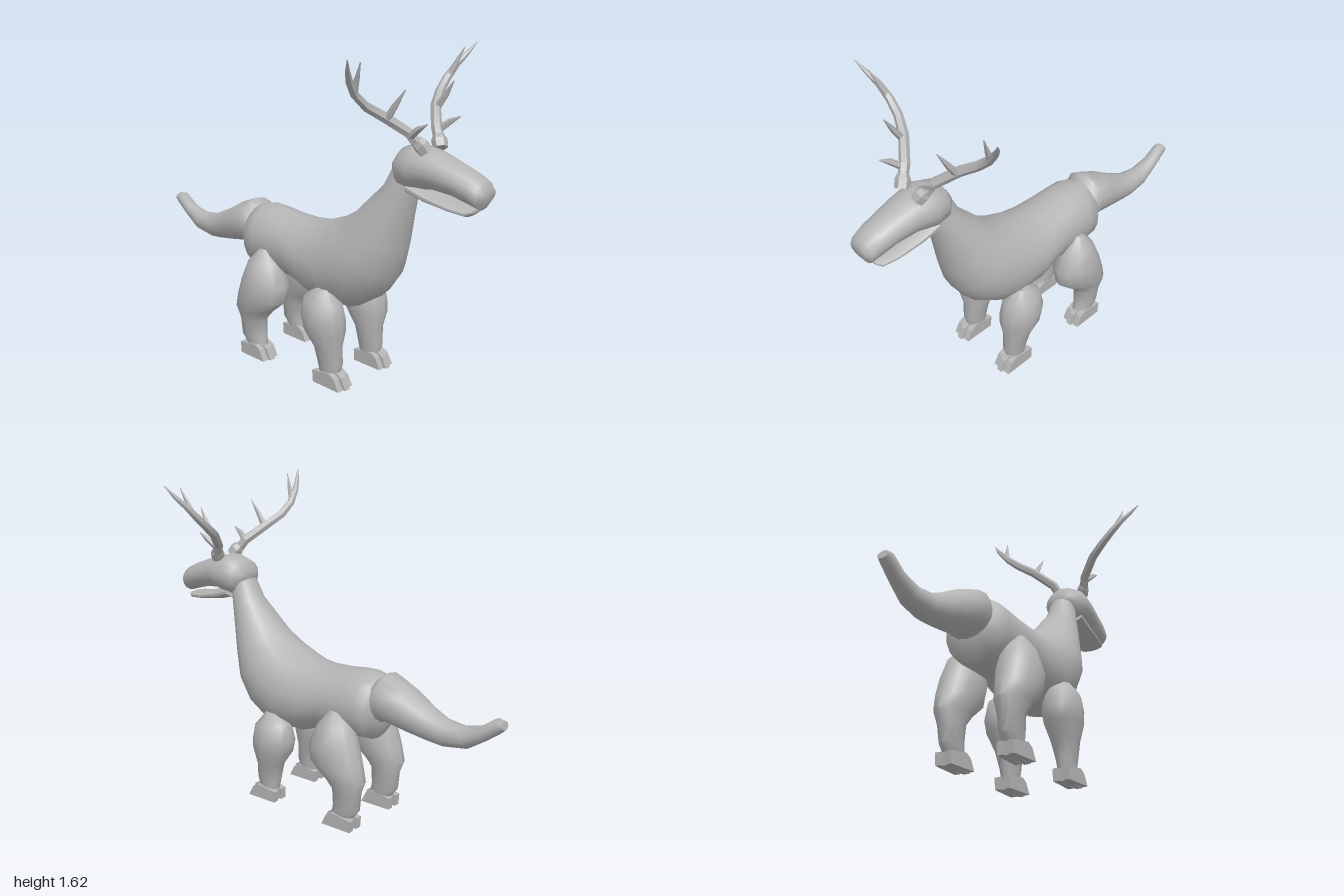
import * as THREE from 'three';
import { toCreasedNormals } from 'three/addons/utils/BufferGeometryUtils.js';

const V = (x, y, z) => new THREE.Vector3(x, y, z);

// Closed skin through rings of equal point count, with fan caps, faces turned outward
function loft(rings, crease) {
  const n = rings[0].length, pts = rings.flat(), idx = [];
  const centre = r => r.reduce((a, p) => a.add(p), V(0, 0, 0)).divideScalar(n);
  for (let i = 0; i < rings.length - 1; i++) {
    for (let j = 0; j < n; j++) {
      const a = i * n + j, b = i * n + (j + 1) % n;
      idx.push(a, b, a + n, b, b + n, a + n);
    }
  }
  const last = (rings.length - 1) * n, c0 = pts.length;
  pts.push(centre(rings[0]), centre(rings[rings.length - 1]));
  for (let j = 0; j < n; j++) {
    const k = (j + 1) % n;
    idx.push(c0, k, j, c0 + 1, last + j, last + k);
  }
  let volume = 0;
  for (let i = 0; i < idx.length; i += 3) {
    volume += pts[idx[i]].dot(V(0, 0, 0).crossVectors(pts[idx[i + 1]], pts[idx[i + 2]]));
  }
  if (volume < 0) idx.reverse();
  const g = new THREE.BufferGeometry().setFromPoints(pts);
  g.setIndex(idx);
  return toCreasedNormals(g, crease);
}

// Rings given as [zA, yA, zB, yB, halfWidth, xCentre]: two opposite edge points in profile
function profileLoft(rows, sides, crease) {
  return loft(rows.map(([za, ya, zb, yb, w, x = 0]) =>
    Array.from({ length: sides }, (_, j) => {
      const t = (j / sides) * Math.PI * 2, c = (1 + Math.cos(t)) / 2;
      return V(x + w * Math.sin(t), yb + (ya - yb) * c, zb + (za - zb) * c);
    })), crease);
}

// Tapering branch along points [x, y, z, radius]
function branch(path, sides) {
  const p = path.map(([x, y, z]) => V(x, y, z));
  return loft(p.map((c, i) => {
    const t = p[Math.min(i + 1, p.length - 1)].clone().sub(p[Math.max(i - 1, 0)]).normalize();
    const u = V(0, 0, 1).cross(t).normalize(), v = t.clone().cross(u);
    return Array.from({ length: sides }, (_, j) => {
      const a = (j / sides) * Math.PI * 2, r = path[i][3];
      return c.clone().addScaledVector(u, r * Math.cos(a)).addScaledVector(v, r * Math.sin(a));
    });
  }), 0.35);
}

export function createModel() {
  const model = new THREE.Group();
  const grey = new THREE.MeshStandardMaterial({ color: 0xb4b4b4 });
  grey.name = 'grey';
  const add = (name, geometry, parent = model) => {
    const m = new THREE.Mesh(geometry, grey);
    m.name = name;
    parent.add(m);
  };

  // Neck, chest, belly and rump in one skin
  add('body', profileLoft([
    [0.52, 1.11, 0.64, 1.04, 0.07],
    [0.47, 1.01, 0.625, 0.96, 0.09],
    [0.40, 0.94, 0.60, 0.85, 0.12],
    [0.32, 0.86, 0.57, 0.70, 0.155],
    [0.24, 0.81, 0.535, 0.57, 0.188],
    [0.15, 0.775, 0.46, 0.46, 0.203],
    [0.07, 0.757, 0.32, 0.37, 0.2],
    [0, 0.75, 0.12, 0.375, 0.19],
    [-0.1, 0.755, -0.02, 0.43, 0.175],
    [-0.2, 0.77, -0.15, 0.43, 0.166],
    [-0.28, 0.775, -0.24, 0.435, 0.162],
    [-0.335, 0.76, -0.315, 0.44, 0.15],
    [-0.35, 0.70, -0.365, 0.53, 0.11],
  ], 18, 1));

  // Head with muzzle, and the separate lower jaw
  add('head', profileLoft([
    [0.54, 1.15, 0.545, 1.08, 0.065],
    [0.575, 1.2, 0.58, 1.02, 0.105],
    [0.65, 1.222, 0.64, 1.01, 0.118],
    [0.75, 1.2, 0.74, 1.03, 0.105],
    [0.85, 1.165, 0.84, 1.02, 0.092],
    [0.93, 1.135, 0.93, 0.995, 0.084],
    [0.98, 1.11, 0.975, 0.98, 0.075],
    [1.0, 1.08, 1.0, 1.02, 0.055],
  ], 16, 1));
  add('lowerJaw', profileLoft([
    [0.64, 1.06, 0.62, 1.0, 0.09],
    [0.74, 1.025, 0.71, 0.975, 0.09],
    [0.85, 0.995, 0.84, 0.955, 0.083],
    [0.925, 0.985, 0.925, 0.945, 0.07],
    [0.95, 0.98, 0.95, 0.965, 0.05],
  ], 14, 0.9));

  // Thick tail, dipping then curling up at the tip
  add('tail', profileLoft([
    [-0.33, 0.755, -0.37, 0.54, 0.12],
    [-0.37, 0.785, -0.39, 0.55, 0.13],
    [-0.475, 0.745, -0.53, 0.525, 0.105],
    [-0.59, 0.68, -0.62, 0.512, 0.082],
    [-0.69, 0.635, -0.70, 0.505, 0.066],
    [-0.79, 0.625, -0.82, 0.525, 0.052],
    [-0.88, 0.65, -0.915, 0.59, 0.04],
    [-0.955, 0.705, -0.985, 0.645, 0.034],
    [-0.99, 0.7, -1.0, 0.66, 0.028],
  ], 14, 1));

  // Legs: [zFront, yFront, zBack, yBack, halfWidth, xCentre] from hip to ankle
  const foreLeg = [
    [0.27, 0.485, 0.2, 0.485, 0.04, 0.16],
    [0.33, 0.41, 0.13, 0.44, 0.085, 0.165],
    [0.345, 0.34, 0.11, 0.35, 0.1, 0.163],
    [0.35, 0.28, 0.125, 0.28, 0.092, 0.163],
    [0.33, 0.2, 0.185, 0.2, 0.07, 0.158],
    [0.34, 0.11, 0.2, 0.11, 0.048, 0.157],
    [0.325, 0.06, 0.215, 0.05, 0.042, 0.157],
  ];
  const hindLeg = [
    [-0.14, 0.59, -0.2, 0.585, 0.04, 0.14],
    [-0.08, 0.52, -0.26, 0.52, 0.085, 0.15],
    [-0.03, 0.41, -0.3, 0.42, 0.108, 0.155],
    [-0.04, 0.325, -0.33, 0.33, 0.1, 0.16],
    [-0.12, 0.26, -0.35, 0.255, 0.08, 0.16],
    [-0.17, 0.205, -0.325, 0.19, 0.062, 0.158],
    [-0.17, 0.11, -0.32, 0.1, 0.05, 0.157],
    [-0.16, 0.06, -0.28, 0.05, 0.042, 0.157],
  ];

  // Toe profile, front tip at z = 0
  const toe = new THREE.Shape([[0, 0], [-0.17, 0], [-0.175, 0.06], [-0.06, 0.075], [-0.028, 0.055]]
    .map(([a, b]) => new THREE.Vector2(a, b)));
  const toeGeometry = () => new THREE.ExtrudeGeometry(toe, { depth: 0.032, bevelEnabled: false })
    .translate(0, 0, -0.016).rotateY(-Math.PI / 2);

  // Antler beam, burr and tines
  const beam = [
    [0.065, 1.2, 0.71, 0.024], [0.1, 1.28, 0.66, 0.025], [0.19, 1.355, 0.59, 0.024],
    [0.27, 1.405, 0.555, 0.022], [0.335, 1.46, 0.548, 0.02], [0.39, 1.52, 0.563, 0.016],
    [0.435, 1.57, 0.59, 0.011], [0.472, 1.622, 0.618, 0.002],
  ];
  const burr = [[0.055, 1.2, 0.715, 0.034], [0.07, 1.232, 0.697, 0.036], [0.08, 1.25, 0.685, 0.026]];
  const tines = [
    [[0.105, 1.27, 0.67, 0.018], [0.12, 1.31, 0.72, 0.015], [0.125, 1.337, 0.768, 0.002]],
    [[0.185, 1.345, 0.6, 0.018], [0.188, 1.41, 0.645, 0.014], [0.18, 1.48, 0.69, 0.002]],
    [[0.345, 1.465, 0.55, 0.016], [0.362, 1.53, 0.578, 0.012], [0.38, 1.605, 0.61, 0.002]],
  ];

  for (const [side, s] of [['left', 1], ['right', -1]]) {
    for (const [kind, rows, tip] of [['Foreleg', foreLeg, 0.385], ['Hindleg', hindLeg, -0.115]]) {
      const leg = new THREE.Group();
      leg.name = side + kind;
      model.add(leg);
      add('limb', profileLoft(rows.map(r => [...r.slice(0, 5), r[5] * s]), 12, 0.9), leg);
      for (const k of [-1, 0, 1]) {
        add('toe', toeGeometry().rotateY(k * 0.06)
          .translate(s * 0.16 + k * 0.037, 0, tip - Math.abs(k) * 0.015), leg);
      }
    }
    const antler = new THREE.Group();
    antler.name = side + 'Antler';
    model.add(antler);
    const flip = path => path.map(([x, y, z, r]) => [x * s, y, z, r]);
    add('beam', branch(flip(beam), 6), antler);
    add('burr', branch(flip(burr), 6), antler);
    tines.forEach(t => add('tine', branch(flip(t), 5), antler));
  }
  return model;
}
